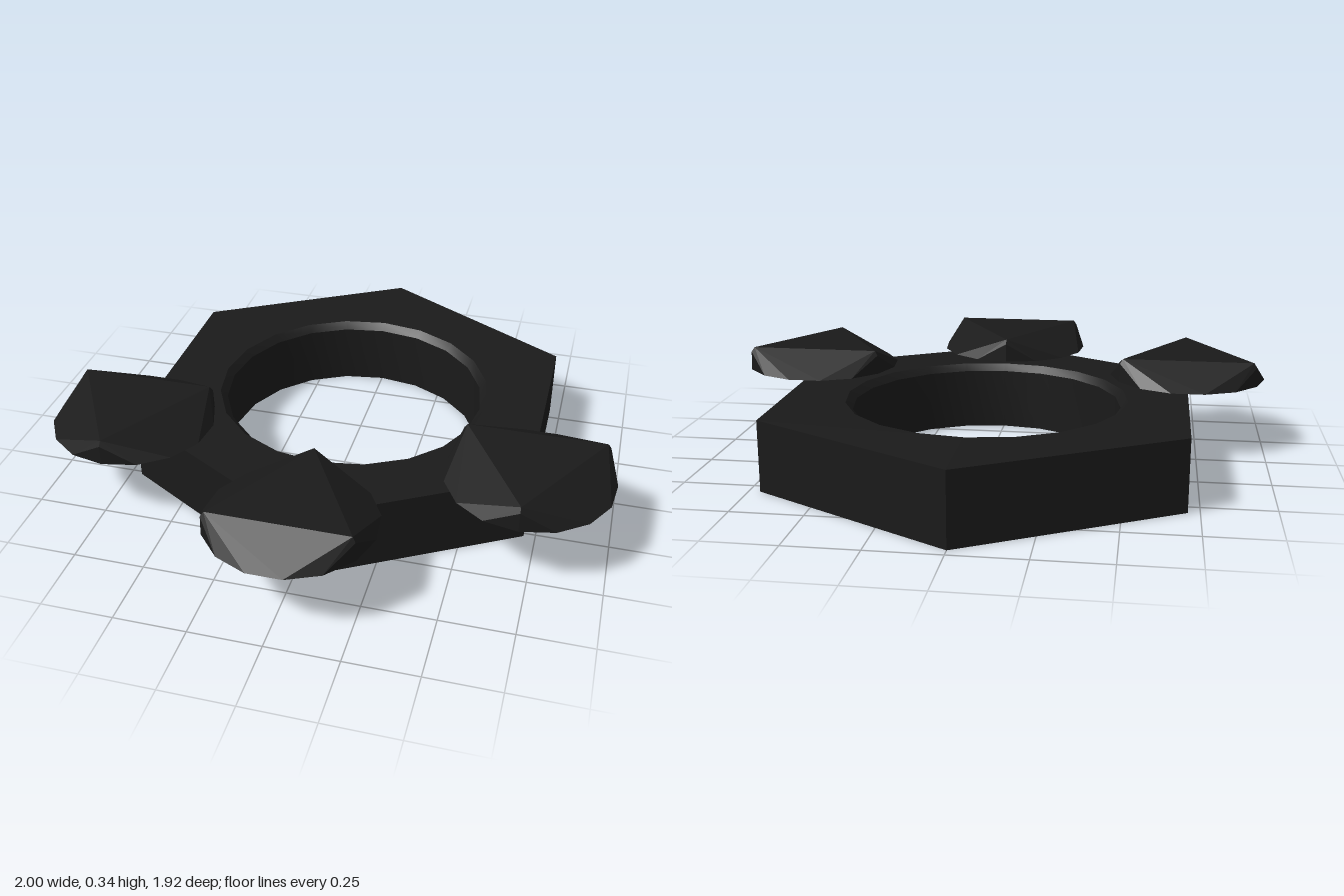
import * as THREE from 'three';
import { ConvexGeometry } from 'three/addons/geometries/ConvexGeometry.js';
import { toCreasedNormals } from 'three/addons/utils/BufferGeometryUtils.js';

const NUT_R = 0.82, NUT_Z = -0.145, NUT_H = 0.25;
const BORE_R = 0.475, RIM_R = 0.5, BORE_SIDES = 20;

// corners of a regular polygon; the first one lies at angle `start`
function polygon(r, sides, start) {
  return Array.from({ length: sides }, (_, i) => {
    const a = start + (i / sides) * Math.PI * 2;
    return new THREE.Vector2(r * Math.cos(a), r * Math.sin(a));
  });
}

// gem with a 15-sided base and a triangular table; `tip` is +1 or -1 along z
function gemGeometry(tip) {
  const start = (tip * Math.PI) / 2;
  const points = [];
  const ring = (r, y, sides) =>
    polygon(r, sides, start).forEach((p) => points.push(new THREE.Vector3(p.x, y, p.y)));
  ring(0.29, 0, 15);
  ring(0.288, 0.07, 3);
  ring(0.276, 0.087, 3);
  return new ConvexGeometry(points);
}

export function createModel() {
  const model = new THREE.Group();
  const material = new THREE.MeshStandardMaterial({ color: 0x1a1a1a });
  const flat = new THREE.MeshStandardMaterial({ color: 0x1a1a1a, flatShading: true });

  const add = (name, geometry, mat, x, y, z) => {
    const mesh = new THREE.Mesh(geometry, mat);
    mesh.name = name;
    mesh.position.set(x, y, z);
    model.add(mesh);
  };

  // hexagonal ring body
  const hexagon = new THREE.Shape(polygon(NUT_R, 6, Math.PI / 2));
  hexagon.holes.push(new THREE.Path(polygon(RIM_R, BORE_SIDES, 0)));
  const body = new THREE.ExtrudeGeometry(hexagon, { depth: NUT_H, bevelEnabled: false });
  body.rotateX(-Math.PI / 2);
  add('hexagonBody', body, flat, 0, 0, NUT_Z);

  // bore lining with a small chamfer at the top rim
  const profile = [
    [RIM_R, NUT_H], [BORE_R, NUT_H - 0.025], [BORE_R, 0], [RIM_R, 0],
  ].map(([r, y]) => new THREE.Vector2(r, y));
  const bore = toCreasedNormals(new THREE.LatheGeometry(profile, BORE_SIDES), 0.5);
  add('boreLining', bore, material, 0, 0, NUT_Z);

  // gems centred on the three front corners
  const sideX = NUT_R * Math.cos(Math.PI / 6);
  const sideZ = NUT_Z + NUT_R / 2;
  add('leftGem', gemGeometry(1), flat, sideX, NUT_H, sideZ);
  add('rightGem', gemGeometry(1), flat, -sideX, NUT_H, sideZ);
  add('frontGem', gemGeometry(-1), flat, 0, NUT_H, NUT_Z + NUT_R);

  return model;
}
